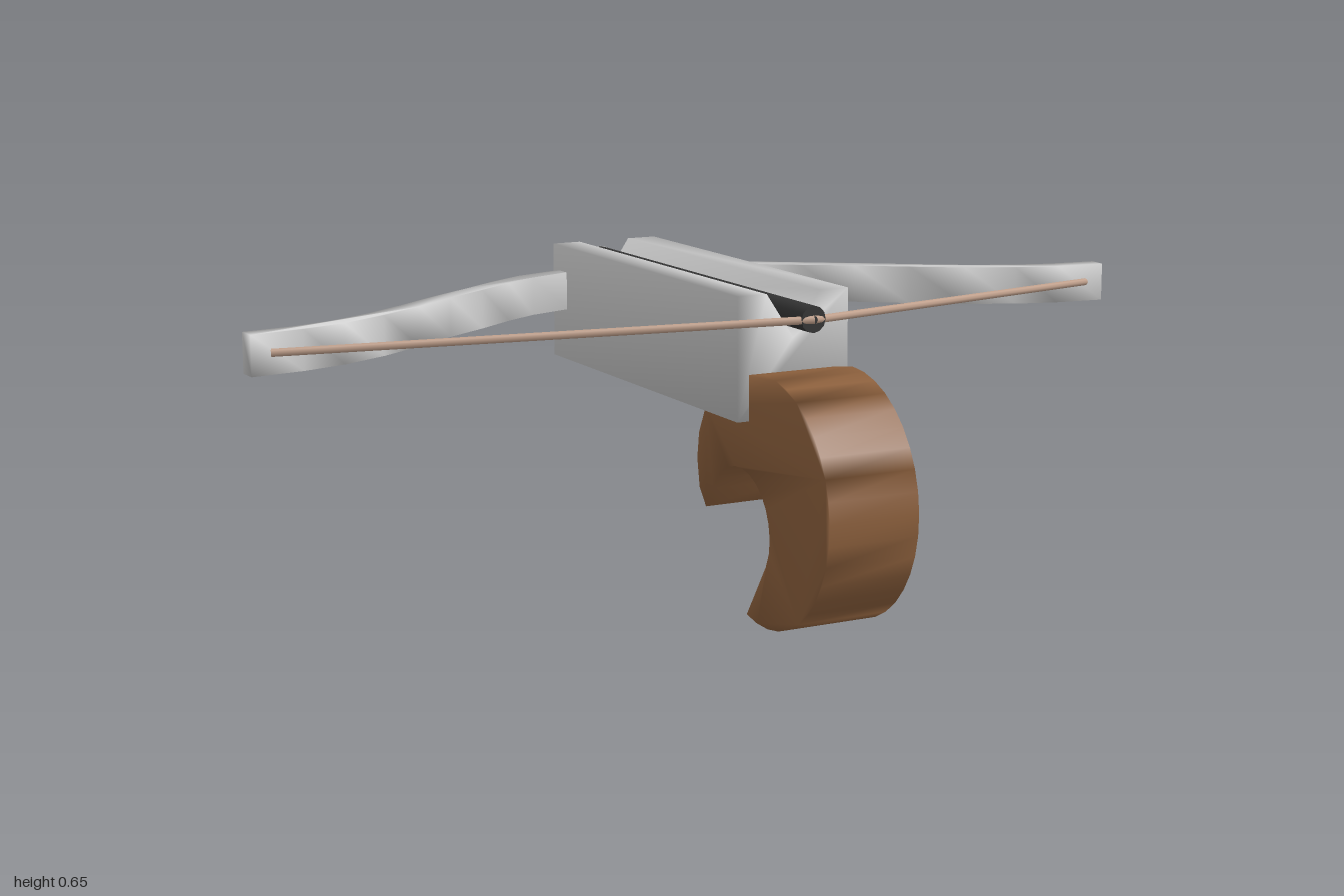
import * as THREE from 'three';
import { mergeVertices } from 'three/addons/utils/BufferGeometryUtils.js';

const paint = (color) => new THREE.MeshStandardMaterial({ color });

// Weld corners so that shading flows softly across the edges
function soften(geometry) {
  geometry.deleteAttribute('normal');
  geometry.deleteAttribute('uv');
  const welded = mergeVertices(geometry, 1e-4);
  welded.computeVertexNormals();
  return welded;
}

// Extrude a 2D outline, centred on its depth
function slab(points, depth) {
  const shape = new THREE.Shape(points.map(([a, b]) => new THREE.Vector2(a, b)));
  return new THREE.ExtrudeGeometry(shape, { depth, bevelEnabled: false }).translate(0, 0, -depth / 2);
}

export function createModel() {
  const group = new THREE.Group();
  const grey = paint(0xcccccc), wood = paint(0x8b5f3c);
  const dark = paint(0x333333), cord = paint(0xc0a08c);
  const add = (name, geometry, material) => {
    const mesh = new THREE.Mesh(geometry, material);
    mesh.name = name;
    group.add(mesh);
    return mesh;
  };

  // Stock with a V groove along the top
  const stock = slab([
    [-0.125, 0.405], [0.125, 0.405], [0.125, 0.655], [0.06, 0.655],
    [0, 0.565], [-0.06, 0.655], [-0.125, 0.655],
  ], 0.855).translate(0, 0, -0.107);
  add('stock', soften(stock), grey);

  // Bow: a curved centre line (x, z), mirrored and given thickness
  const half = [
    [0.125, -0.488], [0.23, -0.452], [0.31, -0.405], [0.4, -0.34], [0.5, -0.275],
    [0.6, -0.2], [0.7, -0.133], [0.8, -0.082], [0.89, -0.055], [1, -0.04],
  ];
  const line = [...half.map(([x, z]) => [-x, z]).reverse(), [0, -0.5], ...half];
  const side = (s) => line.map(([x, z], i) => {
    const a = line[Math.max(i - 1, 0)], b = line[Math.min(i + 1, line.length - 1)];
    const dx = b[0] - a[0], dz = b[1] - a[1], l = Math.hypot(dx, dz);
    const px = THREE.MathUtils.clamp(x - s * 0.021 * dz / l, -1, 1);
    return [px, -(z + s * 0.021 * dx / l)];
  });
  const bow = slab([...side(1), ...side(-1).reverse()], 0.082).rotateX(-Math.PI / 2).translate(0, 0.558, 0);
  add('bow', soften(bow), grey);

  // Curved grip: round back, round cut-out (points are z, y)
  const outline = [];
  for (let i = 0; i <= 20; i++) {
    const a = Math.PI / 2 + (i / 20) * (Math.PI + 0.28);
    outline.push([0.383 - Math.sin(a - Math.PI / 2) * -0.252, 0.254 + Math.cos(a - Math.PI / 2) * 0.254]);
  }
  outline.push([0.39, 0.125]);
  for (let i = 0; i <= 12; i++) {
    const a = -0.2 + (i / 12) * 2.85;
    outline.push([0.28 + Math.cos(a) * 0.125, 0.18 + Math.sin(a) * 0.125]);
  }
  outline.push([0.14, 0.195], [0.112, 0.23], [0.102, 0.29], [0.11, 0.345], [0.14, 0.405], [0.2, 0.455], [0.29, 0.493]);
  add('grip', soften(slab(outline, 0.198).rotateY(-Math.PI / 2)), wood);

  // Bolt and its pointed head, lying in the groove
  add('boltShaft', new THREE.CylinderGeometry(0.027, 0.027, 0.955, 12).rotateX(Math.PI / 2), dark)
    .position.set(0, 0.612, -0.0775);
  add('boltHead', new THREE.ConeGeometry(0.028, 0.082, 12).rotateX(-Math.PI / 2), grey)
    .position.set(0, 0.612, -0.592);

  // Bowstring, drawn back to the end of the bolt
  for (const s of [-1, 1]) {
    const path = new THREE.LineCurve3(
      new THREE.Vector3(s * 0.955, 0.56, -0.025), new THREE.Vector3(0, 0.612, 0.403));
    add(s > 0 ? 'leftString' : 'rightString', new THREE.TubeGeometry(path, 1, 0.008, 8), cord);
  }
  return group;
}
